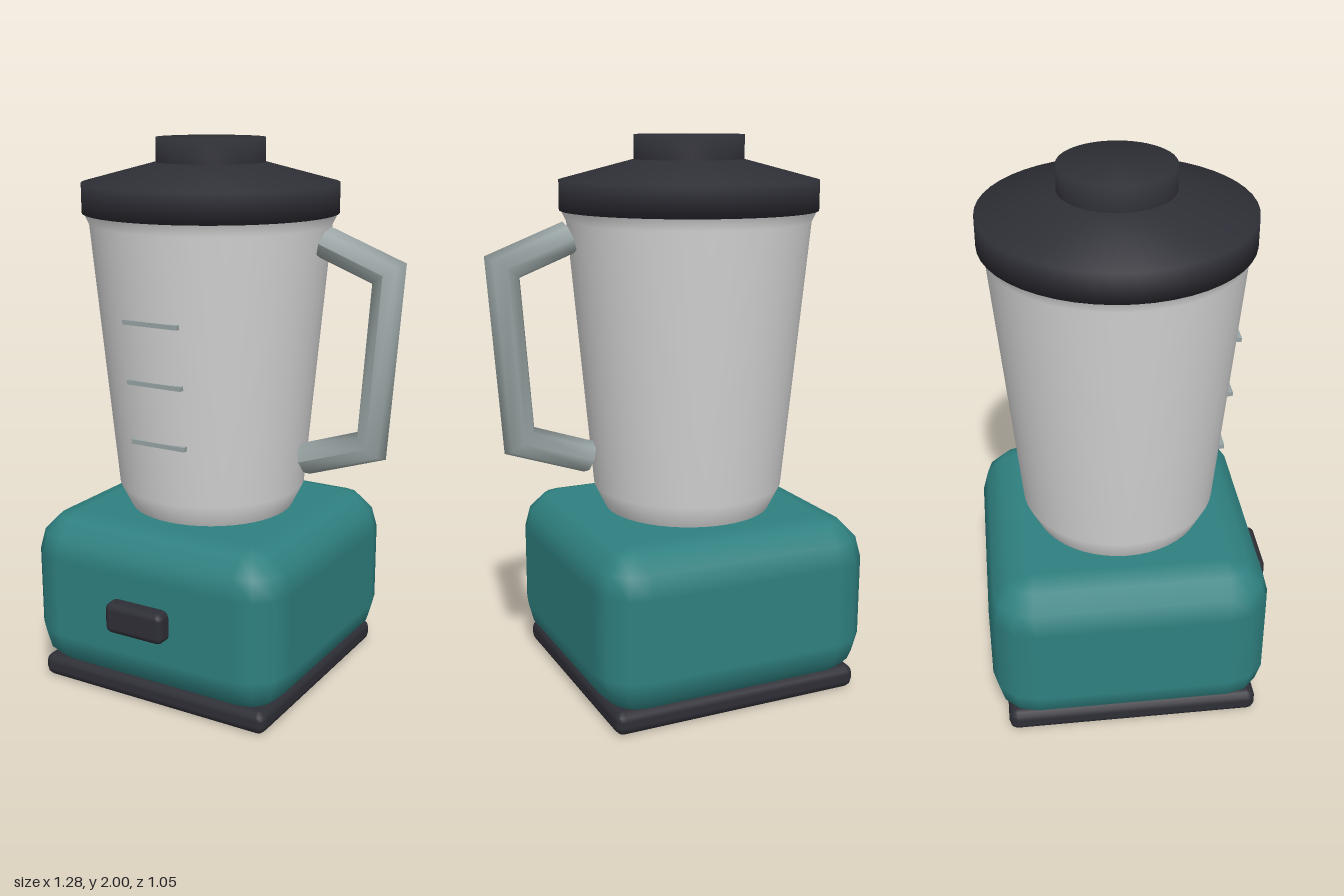
import * as THREE from 'three';

const CX = -0.115, CZ = -0.03; // shared vertical axis of the machine

const mat = (name, color) => {
  const m = new THREE.MeshStandardMaterial({ color });
  m.name = name;
  return m;
};

// Box with three-step bevels: a sphere pulled apart into eight corners.
function bevelBox(w, h, d, r) {
  const g = new THREE.SphereGeometry(1, 16, 9);
  const p = g.attributes.position, n = g.attributes.normal;
  for (let row = 0; row <= 9; row++) {
    for (let col = 0; col <= 16; col++) {
      const i = row * 17 + col;
      const pole = row === 0 || row === 9;
      const top = row <= 4;
      const phi = (pole ? (top ? 0 : 6) : top ? row - 1 : row - 2) * Math.PI / 6;
      const quad = Math.floor(col / 4) % 4;
      const th = (quad * 3 + col % 4) * Math.PI / 6;
      const nx = -Math.cos(th) * Math.sin(phi), ny = Math.cos(phi), nz = Math.sin(th) * Math.sin(phi);
      const sx = quad === 0 || quad === 3 ? -1 : 1, sz = quad < 2 ? 1 : -1;
      const k = pole ? 0 : 1;
      p.setXYZ(i, k * (sx * (w / 2 - r) + nx * r), (top ? 1 : -1) * (h / 2 - r) + ny * r, k * (sz * (d / 2 - r) + nz * r));
      n.setXYZ(i, nx, ny, nz);
    }
  }
  return g;
}

// Eight-sided bar with mitred corners along a path in the xy plane.
function mitredBar(path, r) {
  const pts = path.map(([x, y]) => new THREE.Vector2(x, y));
  const last = pts.length - 1;
  const dir = i => pts[i + 1].clone().sub(pts[i]).normalize();
  const across = pts.map((_, i) => {
    const a = dir(Math.max(i - 1, 0)), b = dir(Math.min(i, last - 1));
    const t = a.clone().add(b).normalize();
    return new THREE.Vector2(-t.y, t.x).divideScalar(t.dot(a));
  });
  const g = new THREE.CylinderGeometry(1, 1, 1, 8, last);
  const p = g.attributes.position;
  for (let i = 0; i < p.count; i++) {
    const j = Math.round((0.5 - p.getY(i)) * last);
    const s = p.getX(i) * r;
    p.setXYZ(i, pts[j].x + across[j].x * s, pts[j].y + across[j].y * s, p.getZ(i) * r);
  }
  g.computeVertexNormals();
  return g;
}

const lathe = profile => new THREE.LatheGeometry(profile.map(([x, y]) => new THREE.Vector2(x, y)), 48);

export function createModel() {
  const model = new THREE.Group();
  model.name = 'blender';
  const teal = mat('teal', 0x2f8080);
  const dark = mat('charcoal', 0x2e2e36);
  const pale = mat('paleJar', 0xd6d6d6);
  const grey = mat('greyHandle', 0x98a3a3);

  const add = (name, geometry, material, x, y, z) => {
    const m = new THREE.Mesh(geometry, material);
    m.name = name;
    m.position.set(x, y, z);
    model.add(m);
  };

  // Motor base, foot and switch
  add('foot', bevelBox(0.95, 0.085, 0.915, 0.032), dark, CX, 0.0425, -0.025);
  add('motorBase', bevelBox(1.04, 0.605, 1.0, 0.155), teal, CX, 0.3525, CZ);
  add('switch', bevelBox(0.24, 0.115, 0.1, 0.025), dark, CX, 0.3525, 0.475);

  // Tapered jar with flared rim
  add('jar', lathe([[0, 0.64], [0.3, 0.64], [0.305, 0.655], [0.347, 0.74], [0.435, 1.7], [0.456, 1.745]]), pale, CX, 0, CZ);

  // Lid with raised cap
  add('lid', lathe([[0, 1.74], [0.46, 1.74], [0.46, 1.845], [0.195, 1.915]]), dark, CX, 0, CZ);
  add('lidCap', lathe([[0.195, 1.91], [0.195, 2], [0, 2]]), dark, CX, 0, CZ);

  // Handle on the jar's left side
  add('handle', mitredBar([[0.342, 1.658], [0.58, 1.568], [0.535, 0.962], [0.278, 0.875]], 0.058), grey, 0, 0, CZ);

  // Measuring marks, set flush with the jar front
  for (const y of [0.96, 1.18, 1.395]) {
    const r = 0.347 + (y - 0.74) * 0.0917;
    add('measuringMark', new THREE.BoxGeometry(0.22, 0.016, 0.02), grey, CX, y, CZ + r - 0.007);
  }
  return model;
}
